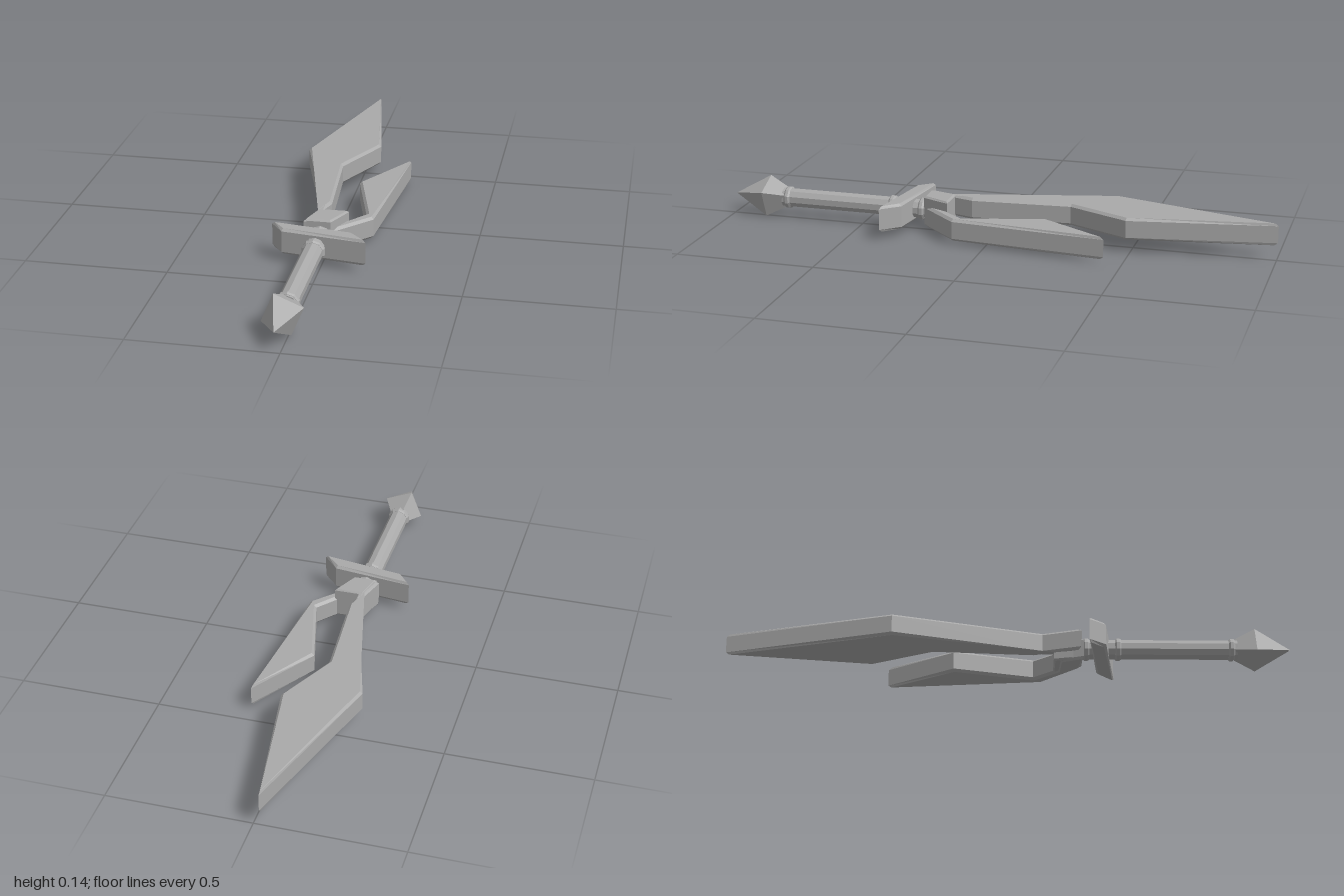
import * as THREE from 'three';

const AXIS_X = -0.02, AXIS_Y = 0.073;

export function createModel() {
  const group = new THREE.Group();
  group.name = 'splitBladeSword';
  const steel = new THREE.MeshStandardMaterial({ color: 0xaaaaaa });
  steel.name = 'grey steel';

  function add(name, geometry) {
    const mesh = new THREE.Mesh(geometry, steel);
    mesh.name = name;
    group.add(mesh);
  }

  // Flat slab with chamfered edges; outline is given as [x, z] pairs
  function slab(name, outline, bottom, top, bevel = 0.009) {
    const shape = new THREE.Shape(outline.map(([x, z]) => new THREE.Vector2(x, -z)));
    const geometry = new THREE.ExtrudeGeometry(shape, {
      depth: top - bottom - 2 * bevel, bevelEnabled: true, bevelSegments: 1,
      bevelSize: bevel, bevelThickness: bevel, bevelOffset: -bevel,
    });
    geometry.rotateX(-Math.PI / 2).translate(0, bottom + bevel, 0);
    add(name, geometry);
  }

  // Faceted turned part along the handle axis; profile is [radius, z] pairs
  function turned(name, profile, sides, phase = 0) {
    const points = profile.map(([r, z]) => new THREE.Vector2(r, z));
    const geometry = new THREE.LatheGeometry(points, sides, phase).toNonIndexed();
    geometry.computeVertexNormals();
    geometry.rotateX(Math.PI / 2).translate(AXIS_X, AXIS_Y, 0);
    add(name, geometry);
  }

  // Blades, set at slightly different heights
  slab('longBlade', [
    [-0.02, -1], [0.065, -0.485], [-0.04, -0.265], [-0.013, 0.09], [-0.035, 0.16],
    [-0.02, 0.25], [-0.08, 0.255], [-0.04, 0.12], [-0.195, -0.405],
  ], 0.05, 0.129);
  slab('shortBlade', [
    [0.188, -0.435], [0.14, 0.12], [0.015, 0.255], [-0.075, 0.265], [-0.045, 0.18],
    [0.04, 0.175], [0.11, 0.09], [0.035, -0.195],
  ], 0.015, 0.095);

  // Block joining the blades, and the slanted guard
  slab('bladeSocket', [[-0.045, 0.16], [0.06, 0.16], [0.015, 0.26], [-0.07, 0.26]], 0.02, 0.131, 0.006);
  slab('guard', [[-0.185, 0.28], [0.1, 0.317], [0.157, 0.382], [-0.14, 0.34]], 0.029, 0.123);

  // Handle with collars
  turned('grip', [[0, 0.24], [0.035, 0.24], [0.035, 0.81], [0, 0.81]], 10);
  for (const [name, z] of [['socketCollar', 0.275], ['upperCollar', 0.388], ['lowerCollar', 0.79]]) {
    turned(name, [[0, z - 0.011], [0.036, z - 0.011], [0.041, z - 0.005],
      [0.041, z + 0.005], [0.036, z + 0.011], [0, z + 0.011]], 10);
  }

  // Four-sided pointed pommel
  turned('pommel', [[0, 0.8], [0.037, 0.8], [0.0755, 0.873], [0, 1]], 4, Math.PI / 8);

  return group;
}
